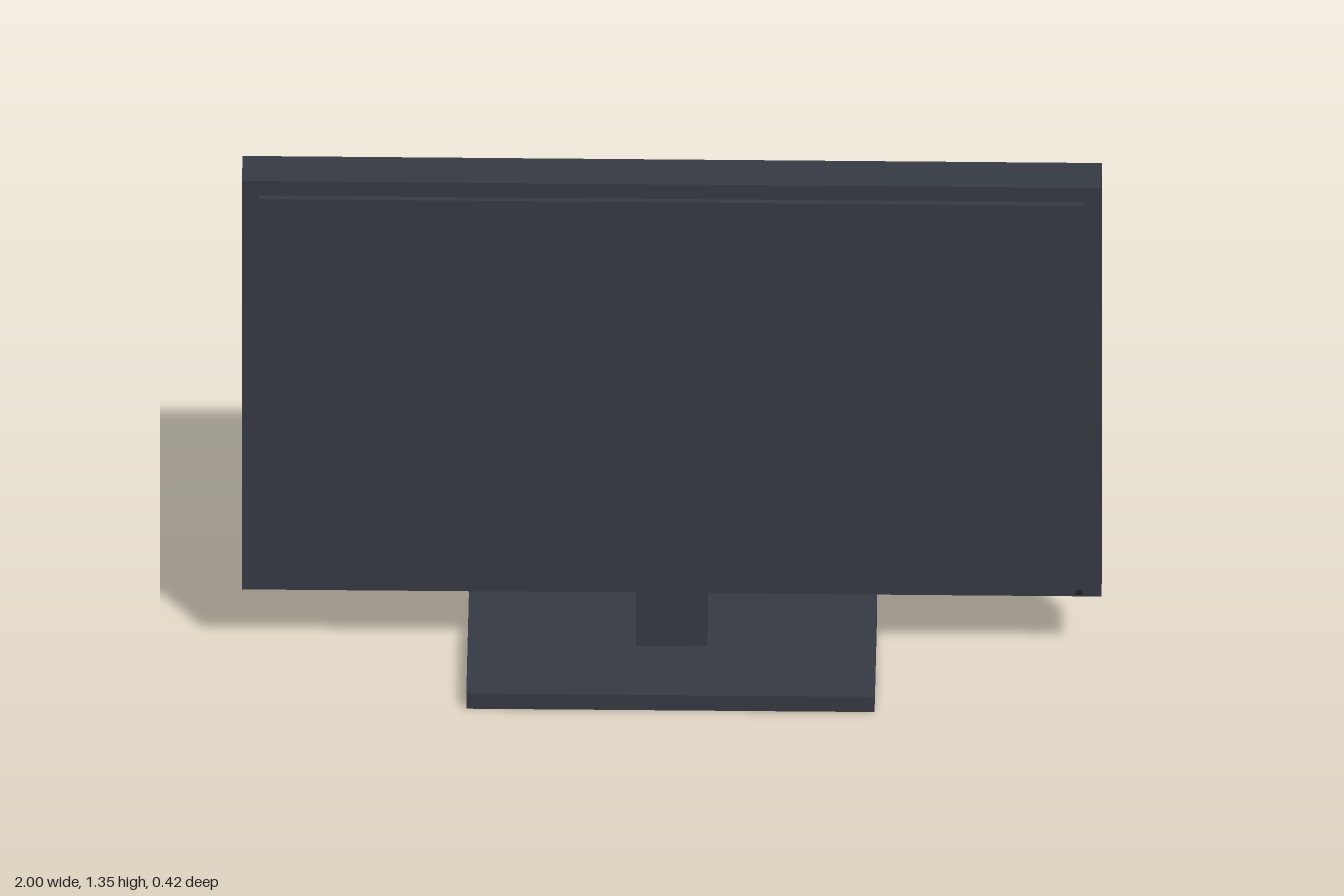
import * as THREE from 'three';

export function createModel() {
  const group = new THREE.Group();
  group.name = 'monitor';

  const charcoal = new THREE.MeshStandardMaterial({ color: 0x363a42 });
  charcoal.name = 'charcoal plastic';
  const black = new THREE.MeshStandardMaterial({ color: 0x1c1e22 });
  black.name = 'dark button';

  // Box given by its minimum and maximum corners
  function box(name, [x0, y0, z0], [x1, y1, z1], material = charcoal) {
    const mesh = new THREE.Mesh(new THREE.BoxGeometry(x1 - x0, y1 - y0, z1 - z0), material);
    mesh.position.set((x0 + x1) / 2, (y0 + y1) / 2, (z0 + z1) / 2);
    mesh.name = name;
    group.add(mesh);
    return mesh;
  }

  // Stand: flat foot and a short neck that runs up into the housing
  box('base', [-0.475, 0, -0.212], [0.475, 0.043, 0.212]);
  box('neck', [-0.083, 0.043, -0.1], [0.083, 0.213, 0.01]);

  // Display housing with a slightly raised screen panel
  box('housing', [-1, 0.195, -0.09], [1, 1.346, 0.013]);
  box('screen', [-0.96, 0.235, 0.013], [0.96, 1.305, 0.027]);

  // Small power button in the lower corner of the frame
  box('powerButton', [0.94, 0.207, 0.013], [0.956, 0.213, 0.026], black);

  return group;
}
